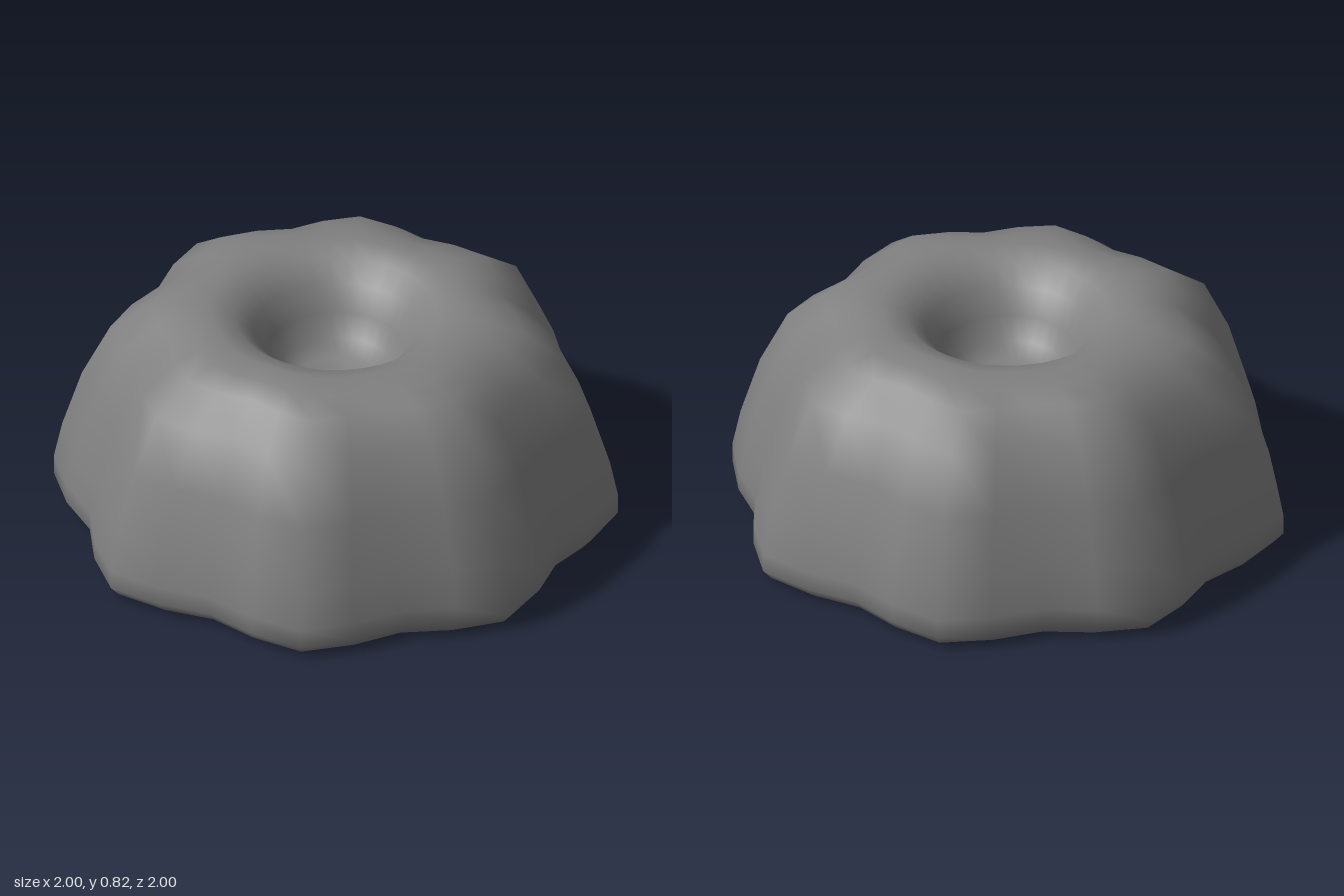
import * as THREE from 'three';
import { mergeVertices } from 'three/addons/utils/BufferGeometryUtils.js';

const LOBES = 8;
const VALLEY = 0.103; // how far the valleys between lobes cut in

// Profile [radius, height] from the centre of the base, up the side and down into the hollow
const PROFILE = [
  [0, 0], [0.6, 0], [0.9, 0], [0.965, 0.01], [1, 0.05], [1, 0.12], [0.97, 0.26],
  [0.9, 0.48], [0.8, 0.68], [0.66, 0.78], [0.55, 0.81], [0.45, 0.824], [0.36, 0.8],
  [0.29, 0.74], [0.24, 0.65], [0.2, 0.57], [0.14, 0.53], [0, 0.52],
];

// Lathe whose radius ripples into rounded lobes, fading out towards the hollow
function flutedLathe() {
  const geometry = new THREE.LatheGeometry(PROFILE.map(([r, y]) => new THREE.Vector2(r, y)), LOBES * 4);
  geometry.deleteAttribute('uv');
  geometry.deleteAttribute('normal');
  const p = geometry.attributes.position;
  for (let i = 0; i < p.count; i++) {
    const x = p.getX(i), z = p.getZ(i);
    const r = Math.hypot(x, z);
    const fade = THREE.MathUtils.smoothstep(r, 0.3, 0.72);
    const dip = (1 - Math.cos(LOBES * Math.atan2(x, z))) / 2;
    const k = 1 - VALLEY * fade * dip;
    p.setXYZ(i, x * k, p.getY(i), z * k);
  }
  const welded = mergeVertices(geometry, 1e-4);
  welded.computeVertexNormals();
  return welded;
}

export function createModel() {
  const group = new THREE.Group();
  group.name = 'ringCake';
  const grey = new THREE.MeshStandardMaterial({ color: 0x808080 });
  grey.name = 'grey';

  // Fluted body with a hollow in the top and a flat base
  const body = new THREE.Mesh(flutedLathe(), grey);
  body.name = 'flutedBody';
  group.add(body);
  return group;
}
